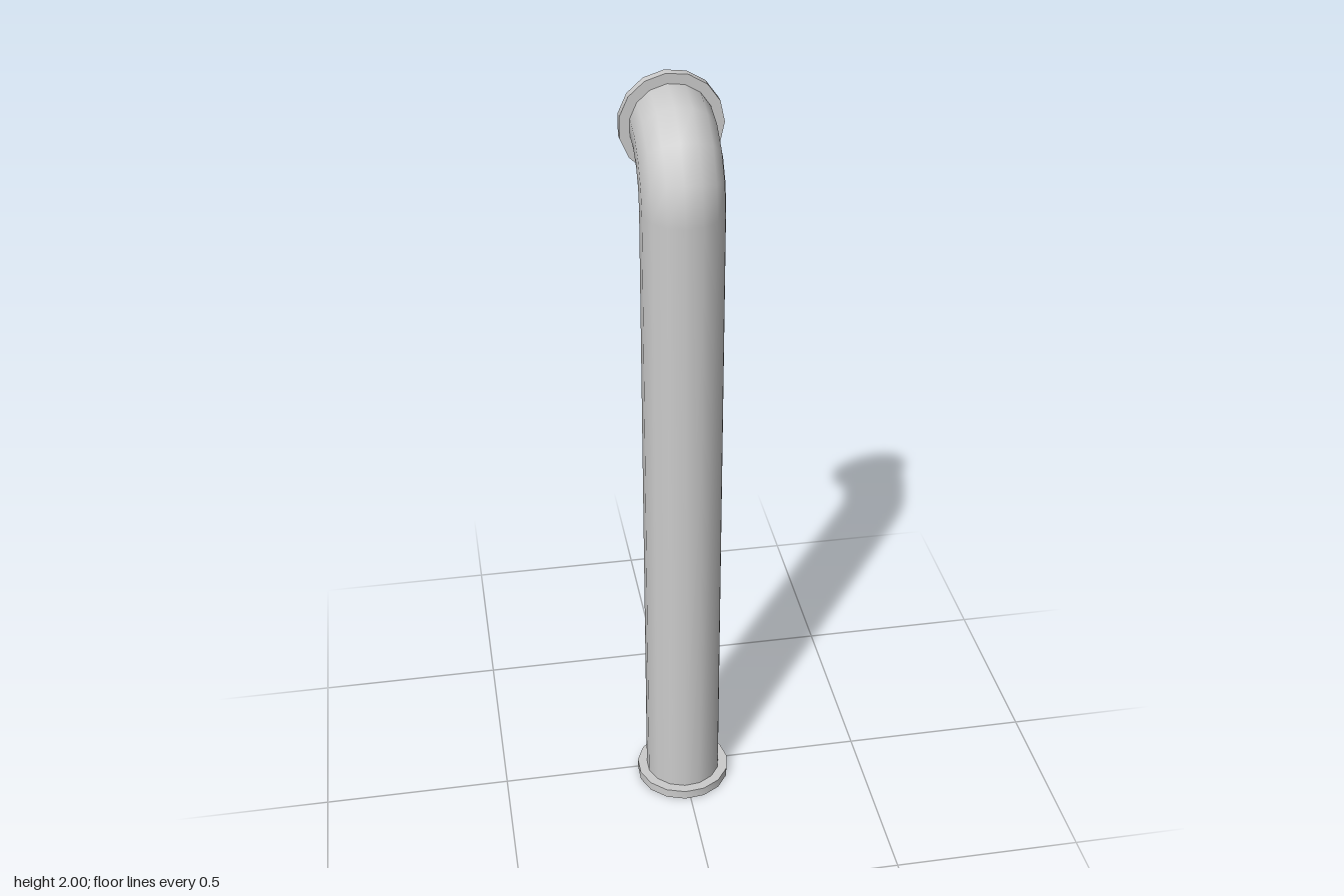
import * as THREE from 'three';
import { toCreasedNormals } from 'three/addons/utils/BufferGeometryUtils.js';

const SIDES = 15;
const X0 = -0.0014;         // axis of the 15-sided pipe, so its box is centred
const PIPE_R = 0.102, FLANGE_R = 0.1273, FLANGE_H = 0.026;
const AXIS_Z = 0.0274, OUTLET_Y = 1.8734, END_Z = -0.155;
const BEND_R = 0.15, BEND_STEPS = 4;

// Pipe skin: rings along the riser, round the elbow and out to the flange
function pipeGeometry() {
  const cy = OUTLET_Y - BEND_R, cz = AXIS_Z - BEND_R;
  const rings = [{ y: 0.01, z: AXIS_Z, a: 0 }];
  for (let i = 0; i <= BEND_STEPS; i++) {
    const a = (i / BEND_STEPS) * Math.PI / 2;
    rings.push({ y: cy + BEND_R * Math.sin(a), z: cz + BEND_R * Math.cos(a), a });
  }
  rings.push({ y: OUTLET_Y, z: END_Z + FLANGE_H, a: Math.PI / 2 });

  const positions = [], normals = [], index = [];
  rings.forEach(({ y, z, a }, i) => {
    for (let j = 0; j <= SIDES; j++) {
      const t = (j / SIDES) * Math.PI * 2;
      const n = [Math.cos(t), Math.sin(t) * Math.sin(a), Math.sin(t) * Math.cos(a)];
      normals.push(...n);
      positions.push(X0 + PIPE_R * n[0], y + PIPE_R * n[1], z + PIPE_R * n[2]);
      if (i < rings.length - 1 && j < SIDES) {
        const p = i * (SIDES + 1) + j, q = p + SIDES + 1;
        index.push(p, q, p + 1, q, q + 1, p + 1);
      }
    }
  });
  const geometry = new THREE.BufferGeometry();
  geometry.setAttribute('position', new THREE.Float32BufferAttribute(positions, 3));
  geometry.setAttribute('normal', new THREE.Float32BufferAttribute(normals, 3));
  geometry.setIndex(index);
  return geometry;
}

// Flange turned from a profile of [radius, height] points, with sharp rims
function flangeGeometry(profile) {
  const points = profile.map(([r, h]) => new THREE.Vector2(r, h));
  return toCreasedNormals(new THREE.LatheGeometry(points, SIDES, Math.PI / 2), Math.PI / 6);
}

export function createModel() {
  const group = new THREE.Group();
  group.name = 'elbowPipe';
  const material = new THREE.MeshStandardMaterial({ color: 0xcccccc });
  const add = (name, geometry) => {
    const mesh = new THREE.Mesh(geometry, material);
    mesh.name = name;
    group.add(mesh);
    return mesh;
  };

  add('pipe', pipeGeometry());

  // Solid flange at the foot
  add('baseFlange', flangeGeometry([
    [0, 0], [FLANGE_R, 0], [FLANGE_R, FLANGE_H], [0, FLANGE_H],
  ])).position.set(X0, 0, AXIS_Z);

  // Outlet flange facing back, with a tapered recess closed by a disc
  const outlet = add('outletFlange', flangeGeometry([
    [0.095, 0], [FLANGE_R, 0], [FLANGE_R, FLANGE_H],
    [0.106, FLANGE_H], [0.082, 0], [0, 0],
  ]));
  outlet.rotation.x = -Math.PI / 2;
  outlet.position.set(X0, OUTLET_Y, END_Z + FLANGE_H);

  return group;
}
